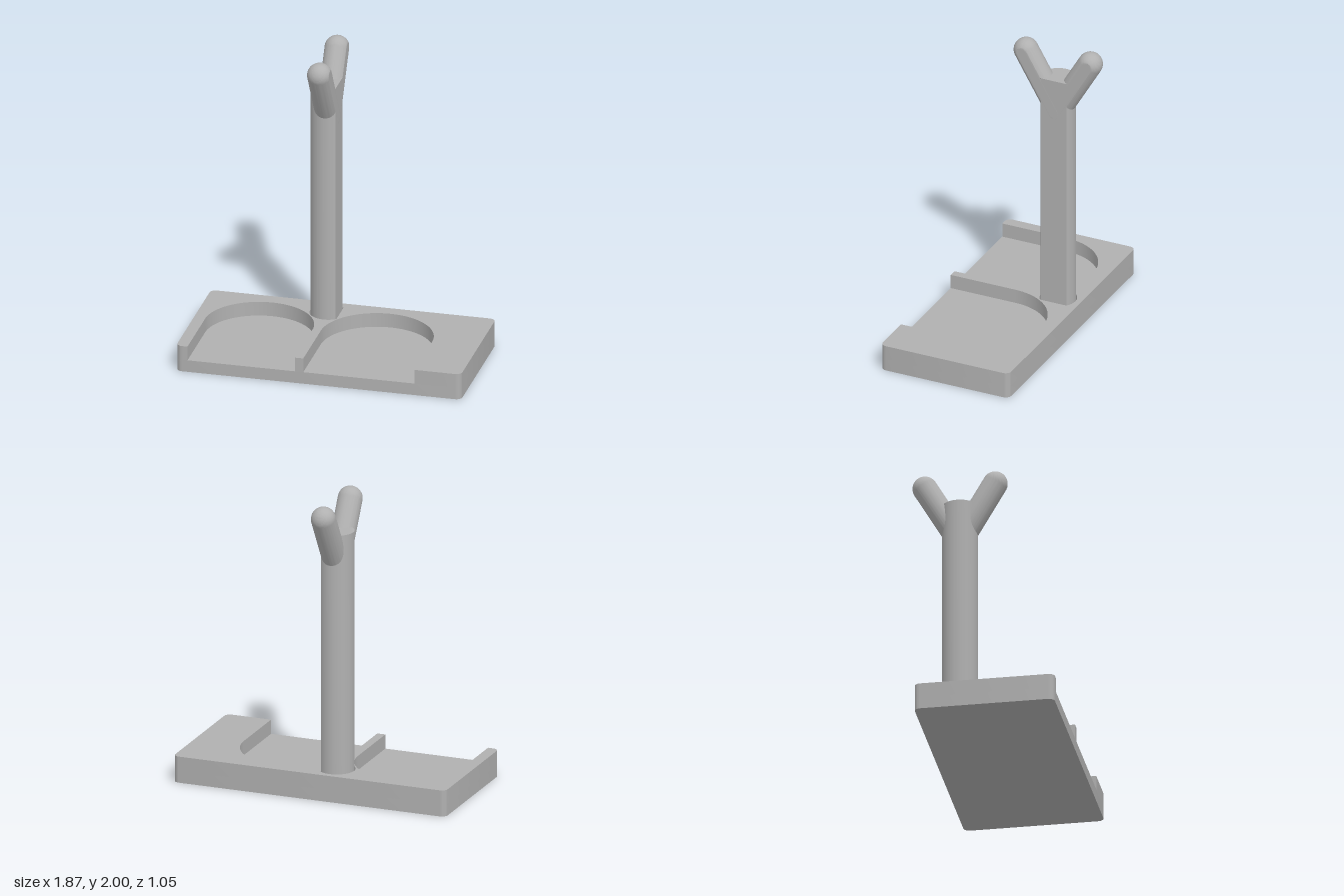
import * as THREE from 'three';
import { toCreasedNormals } from 'three/addons/utils/BufferGeometryUtils.js';

const HALF_X = 0.935, FRONT = 0.525, BACK = -0.38, CORNER = 0.04;
const FLOOR = 0.08, TOP = 0.175;
const POST = { x: -0.125, z: -0.2225, r: 0.114, flat: -0.055, top: 1.775 };
const RECESSES = [[-0.86, -0.155], [-0.1, 0.63]];
const ARC_Z = 0.07;

// Extrude a plan shape (shape y = -z) upward from y0 to y1
function slab(shape, y0, y1) {
  const g = new THREE.ExtrudeGeometry(shape, { depth: y1 - y0, bevelEnabled: false, curveSegments: 32 });
  g.rotateX(-Math.PI / 2).translate(0, y0, 0);
  return toCreasedNormals(g, 0.5);
}

// Rounded plate outline, optionally with arched notches open to the front
function plateShape(notches) {
  const s = new THREE.Shape();
  const c = CORNER, x = HALF_X - c, f = -FRONT, b = -BACK;
  s.moveTo(-x, f);
  for (const [x0, x1] of notches) {
    s.lineTo(x0, f);
    s.lineTo(x0, -ARC_Z);
    s.absarc((x0 + x1) / 2, -ARC_Z, (x1 - x0) / 2, Math.PI, 0, true);
    s.lineTo(x1, f);
  }
  s.lineTo(x, f);
  s.absarc(x, f + c, c, -Math.PI / 2, 0);
  s.absarc(x, b - c, c, 0, Math.PI / 2);
  s.absarc(-x, b - c, c, Math.PI / 2, Math.PI);
  s.absarc(-x, f + c, c, Math.PI, Math.PI * 1.5);
  return s;
}

// Circle with its +x side cut flat
function postOutline(target, gap) {
  const r = POST.r + gap;
  const a = Math.acos((POST.flat + gap - POST.x) / r);
  target.absarc(POST.x, -POST.z, r, a, Math.PI * 2 - a);
  target.closePath();
  return target;
}

// Capsule arm leaning along z, trimmed flush with the flat of the post
function armGeometry(side) {
  const r = 0.08;
  const low = new THREE.Vector3(POST.x, 1.535, POST.z);
  const tip = new THREE.Vector3(POST.x, 2 - r, POST.z + side * 0.2265);
  const dir = tip.clone().sub(low);
  const g = new THREE.CapsuleGeometry(r, dir.length(), 16, 72);
  g.applyQuaternion(new THREE.Quaternion().setFromUnitVectors(
    new THREE.Vector3(0, 1, 0), dir.clone().normalize()));
  const mid = low.add(tip).multiplyScalar(0.5);
  g.translate(mid.x, mid.y, mid.z);
  const p = g.attributes.position;
  for (let i = 0; i < p.count; i++) p.setX(i, Math.min(p.getX(i), POST.flat));
  return toCreasedNormals(g, 0.4);
}

export function createModel() {
  const group = new THREE.Group();
  const grey = new THREE.MeshStandardMaterial({ color: 0xb0b0b0 });
  grey.name = 'grey';
  const add = (name, geometry) => {
    const mesh = new THREE.Mesh(geometry, grey);
    mesh.name = name;
    group.add(mesh);
  };

  // Base: solid floor and a rim with two arched trays and a socket for the post
  add('baseFloor', slab(plateShape([]), 0, FLOOR));
  const rim = plateShape(RECESSES);
  rim.holes.push(postOutline(new THREE.Path(), 0.006));
  add('baseRim', slab(rim, FLOOR, TOP));

  // Post and forked arms
  add('post', slab(postOutline(new THREE.Shape(), 0), FLOOR, POST.top));
  add('frontArm', armGeometry(1));
  add('backArm', armGeometry(-1));
  return group;
}
